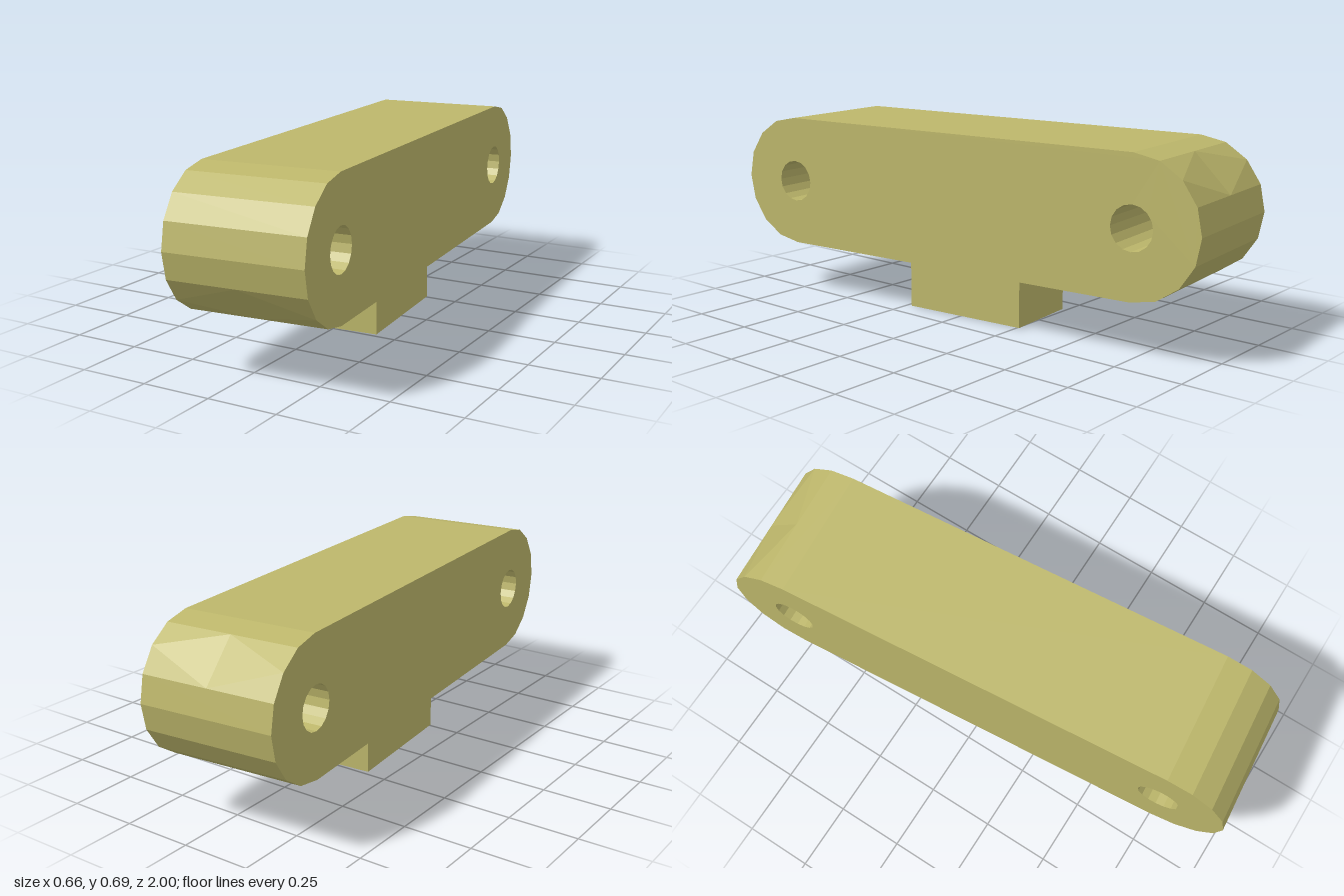
import * as THREE from 'three';

const R = 0.245;        // end radius of the bar
const REACH = 0.737;    // distance from centre to each hole
const HALF = 0.245;     // half thickness of the bar
const HOLE = 0.078;
const MID = 0.445;      // height of the hole axes
const STEP = Math.PI / 8;

export function createModel() {
  const group = new THREE.Group();
  const material = new THREE.MeshStandardMaterial({ color: 0xbdb76b, flatShading: true });
  const boreMaterial = material.clone();
  boreMaterial.side = THREE.BackSide;

  const add = (parent, name, geometry, mat = material) => {
    const mesh = new THREE.Mesh(geometry, mat);
    mesh.name = name;
    parent.add(mesh);
    return mesh;
  };

  // Everything is skewed a few degrees about the vertical
  const arm = new THREE.Group();
  arm.name = 'linkArm';
  arm.rotation.y = THREE.MathUtils.degToRad(5);
  group.add(arm);

  // Bar, drawn in its side plane and turned so its thickness lies along x
  const bar = new THREE.Group();
  bar.name = 'bar';
  bar.rotation.y = Math.PI / 2;
  bar.position.y = MID;
  arm.add(bar);

  // Faceted stadium outline, counter-clockwise
  const outline = [];
  for (const [centre, start] of [[REACH, -4], [-REACH, 4]]) {
    for (let k = 0; k <= 8; k++) {
      const a = (start + k) * STEP;
      outline.push(new THREE.Vector2(centre + R * Math.cos(a), R * Math.sin(a)));
    }
  }

  // Flat side faces with two holes
  const shape = new THREE.Shape(outline);
  for (const x of [-REACH, REACH]) {
    const ring = [];
    for (let k = 0; k < 16; k++) {
      ring.push(new THREE.Vector2(x + HOLE * Math.cos(k * STEP), HOLE * Math.sin(k * STEP)));
    }
    shape.holes.push(new THREE.Path(ring));
  }
  for (const side of [1, -1]) {
    const face = add(bar, side > 0 ? 'leftFace' : 'rightFace', new THREE.ShapeGeometry(shape));
    face.position.z = side * HALF;
    if (side < 0) face.rotation.y = Math.PI;
  }

  // Rim wall; one edge on each rounded end is pinched into a shallow diamond
  const dents = [6, 15];
  const n = outline.length;
  const positions = [];
  const at = (i, s) => [outline[i % n].x, outline[i % n].y, s * HALF];
  const tri = (...corners) => corners.forEach(c => positions.push(...c));
  for (let i = 0; i < n; i++) {
    const j = i + 1;
    if (dents.includes(j)) {
      tri(at(i, -1), at(j, -1), at(i, 0));
      tri(at(i, 0), at(j, 1), at(i, 1));
    } else if (dents.includes(i)) {
      tri(at(i, -1), at(j, -1), at(j, 0));
      tri(at(j, 0), at(j, 1), at(i, 1));
      tri(at(i, -1), at(j, 0), at(i - 1, 0));
      tri(at(i, 1), at(i - 1, 0), at(j, 0));
    } else {
      tri(at(i, -1), at(j, -1), at(j, 1));
      tri(at(i, -1), at(j, 1), at(i, 1));
    }
  }
  const rim = new THREE.BufferGeometry();
  rim.setAttribute('position', new THREE.Float32BufferAttribute(positions, 3));
  rim.computeVertexNormals();
  add(bar, 'rim', rim);

  // Bores through the bar
  for (const x of [-REACH, REACH]) {
    const bore = new THREE.CylinderGeometry(HOLE, HOLE, 2 * HALF, 16, 1, true);
    bore.rotateX(Math.PI / 2);
    add(bar, x < 0 ? 'frontBore' : 'backBore', bore, boreMaterial).position.x = x;
  }

  // Foot block under the middle
  add(arm, 'foot', new THREE.BoxGeometry(0.294, 0.2, 0.49)).position.y = 0.1;

  return group;
}
